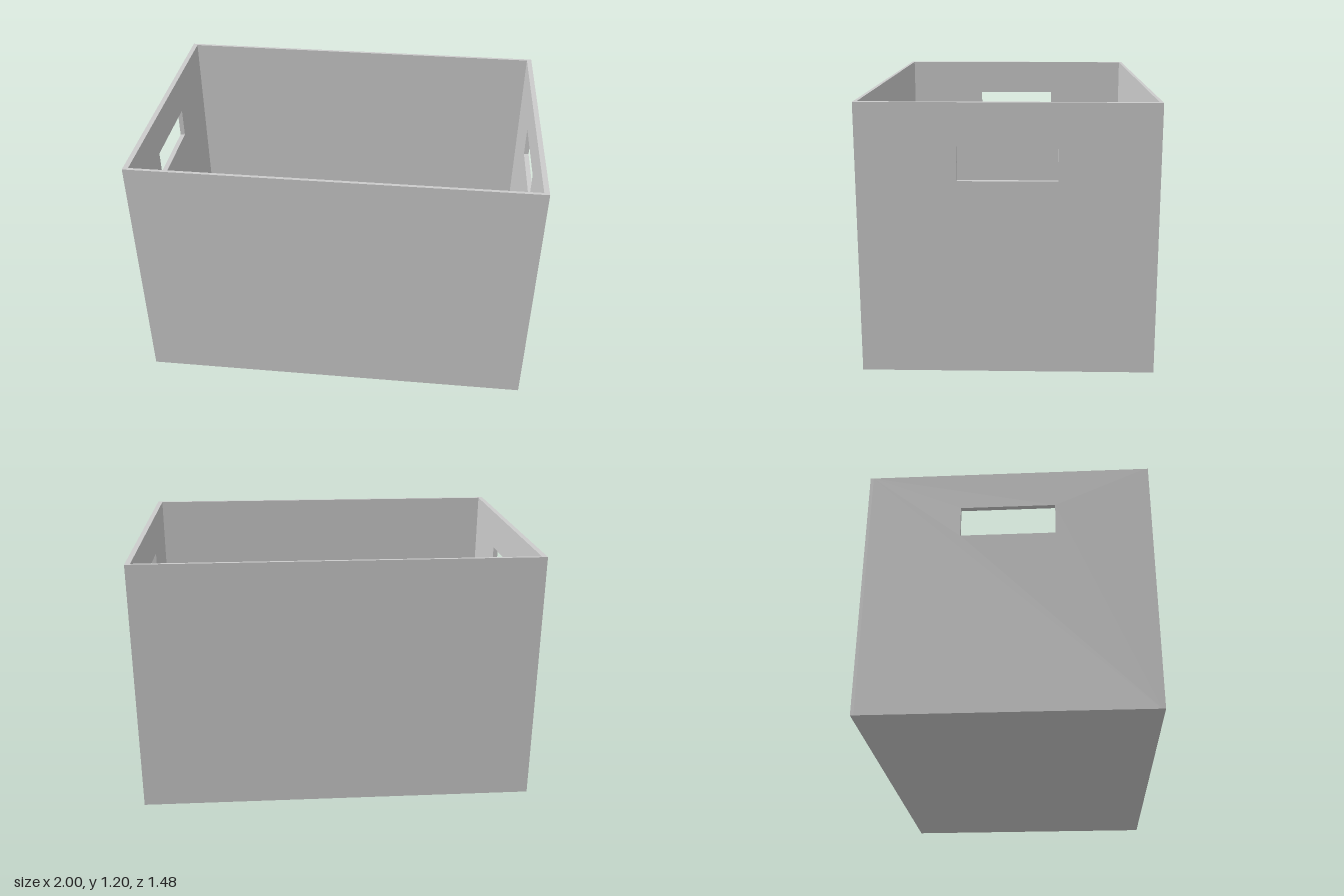
import * as THREE from 'three';

const LENGTH = 1.876, WIDTH = 1.296, HEIGHT = 1.204;
const SIDE = 0.024, FACE = 0.015, FLOOR = 0.02; // wall thicknesses
const HANDLE = { width: 0.432, bottom: 0.868, top: 1.018 };

export function createModel() {
  const group = new THREE.Group();
  group.name = 'storageBox';
  const material = new THREE.MeshStandardMaterial({ color: 0xcccccc });

  const add = (name, geometry, x, y, z) => {
    const mesh = new THREE.Mesh(geometry, material);
    mesh.name = name;
    mesh.position.set(x, y, z);
    group.add(mesh);
    return mesh;
  };

  // Floor, set between the walls
  const innerWidth = WIDTH - 2 * FACE;
  add('floor', new THREE.BoxGeometry(LENGTH - 2 * SIDE, FLOOR, innerWidth), 0, FLOOR / 2, 0);

  // Long front and back walls
  const longWall = new THREE.BoxGeometry(LENGTH, HEIGHT, FACE);
  const zWall = (WIDTH - FACE) / 2;
  add('frontWall', longWall, 0, HEIGHT / 2, zWall);
  add('backWall', longWall, 0, HEIGHT / 2, -zWall);

  // Side walls with a rectangular hand hole
  const rectangle = (Type, w, y0, y1) => {
    const r = new Type();
    r.moveTo(-w / 2, y0).lineTo(w / 2, y0).lineTo(w / 2, y1).lineTo(-w / 2, y1).closePath();
    return r;
  };
  const outline = rectangle(THREE.Shape, innerWidth, 0, HEIGHT);
  outline.holes.push(rectangle(THREE.Path, HANDLE.width, HANDLE.bottom, HANDLE.top));
  const sideWall = new THREE.ExtrudeGeometry(outline, { depth: SIDE, bevelEnabled: false });
  sideWall.translate(0, 0, -SIDE / 2).rotateY(Math.PI / 2);
  const xWall = (LENGTH - SIDE) / 2;
  add('leftWall', sideWall, xWall, 0, 0);
  add('rightWall', sideWall, -xWall, 0, 0);

  // The box stands slightly turned
  group.rotation.y = 0.1037;
  const model = new THREE.Group();
  model.add(group);
  return model;
}
